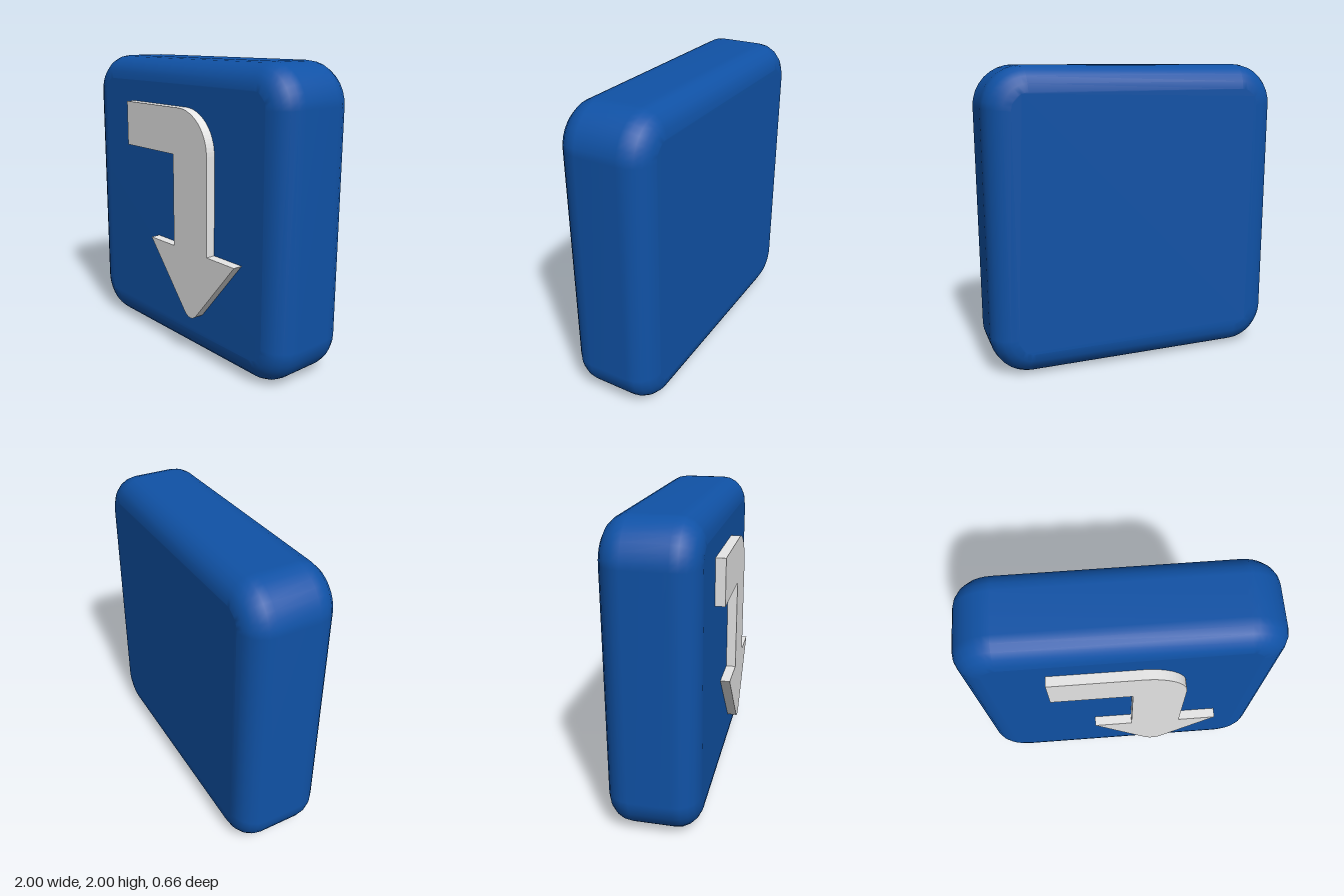
import * as THREE from 'three';
import { mergeVertices } from 'three/addons/utils/BufferGeometryUtils.js';

const blue = new THREE.MeshStandardMaterial({ name: 'signBlue', color: 0x1052a6 });
const white = new THREE.MeshStandardMaterial({ name: 'arrowWhite', color: 0xe6e6e6 });

// Square outline with rounded corners, centred on the origin
function roundedSquare(half, radius) {
  const shape = new THREE.Shape();
  const c = half - radius;
  [[c, c], [-c, c], [-c, -c], [c, -c]].forEach(([x, y], i) => {
    shape.absarc(x, y, radius, i * Math.PI / 2, (i + 1) * Math.PI / 2, false);
  });
  return shape;
}

// Thick pillow-edged panel
function makePanel() {
  const back = -0.33, front = 0.265, bevel = 0.16;
  let geometry = new THREE.ExtrudeGeometry(roundedSquare(1 - bevel, 0.11), {
    depth: front - back - 2 * bevel,
    bevelThickness: bevel,
    bevelSize: bevel,
    bevelSegments: 5,
    curveSegments: 4,
  });
  geometry.translate(0, 1, back + bevel);
  // Weld so the edges shade smoothly
  geometry.deleteAttribute('normal');
  geometry.deleteAttribute('uv');
  geometry.clearGroups();
  geometry = mergeVertices(geometry, 1e-4);
  geometry.computeVertexNormals();
  const mesh = new THREE.Mesh(geometry, blue);
  mesh.name = 'panel';
  return mesh;
}

// Raised arrow that turns from rightward to downward
function makeArrow() {
  const s = new THREE.Shape();
  s.moveTo(-0.465, 1.39);
  s.lineTo(0.06, 1.39);
  s.lineTo(0.06, 0.765);
  s.lineTo(-0.2, 0.765);
  s.lineTo(0.175, 0.32);
  s.quadraticCurveTo(0.23, 0.27, 0.285, 0.32); // blunt tip
  s.lineTo(0.66, 0.765);
  s.lineTo(0.4, 0.765);
  s.lineTo(0.4, 1.415);
  s.absarc(0.12, 1.415, 0.28, 0, Math.PI / 2, false); // outer bend
  s.lineTo(-0.465, 1.695);
  const geometry = new THREE.ExtrudeGeometry(s, { depth: 0.08, bevelEnabled: false, curveSegments: 8 });
  geometry.translate(0, 0, 0.25);
  const mesh = new THREE.Mesh(geometry, white);
  mesh.name = 'arrow';
  return mesh;
}

export function createModel() {
  const model = new THREE.Group();
  model.name = 'turnArrowSign';
  model.add(makePanel(), makeArrow());
  return model;
}
